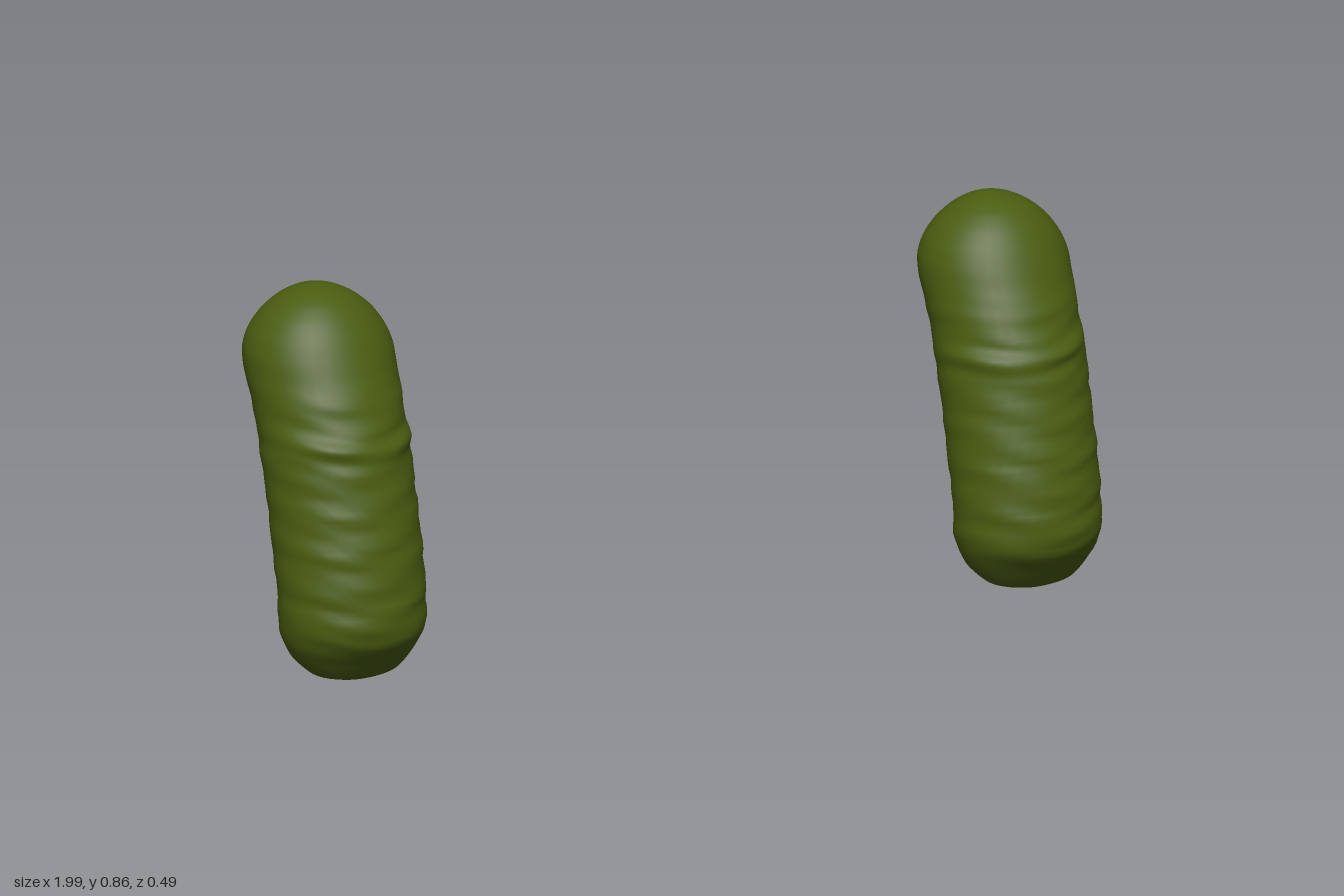
import * as THREE from 'three';

// Outline of one sleeve, bottom to top: height, front z, back z, half width in x
const OUTLINE = [
  [0, 0.1, 0.09, 0.004], [0.006, 0.135, 0.065, 0.05], [0.022, 0.168, 0.045, 0.1],
  [0.06, 0.2, -0.02, 0.14], [0.12, 0.243, -0.056, 0.165], [0.2, 0.24, -0.056, 0.168],
  [0.3, 0.223, -0.088, 0.169], [0.4, 0.198, -0.118, 0.168], [0.5, 0.172, -0.155, 0.169],
  [0.54, 0.168, -0.173, 0.169], [0.57, 0.147, -0.187, 0.167], [0.63, 0.122, -0.216, 0.169],
  [0.68, 0.094, -0.243, 0.171], [0.72, 0.074, -0.246, 0.169], [0.76, 0.052, -0.235, 0.155],
  [0.8, 0.023, -0.21, 0.126], [0.83, -0.01, -0.18, 0.09], [0.85, -0.05, -0.145, 0.05],
  [0.858, -0.09, -0.11, 0.01], [0.859, -0.1, -0.102, 0.001],
];

// Stacks oval cross-sections along the outline and presses shallow folds into them
function sleeveGeometry(mirror) {
  const rows = 110, cols = 40;
  const sides = new THREE.CatmullRomCurve3(
    OUTLINE.map(([y, f, b]) => new THREE.Vector3(y, f, b)), false, 'catmullrom', 0.4);
  const widths = new THREE.CatmullRomCurve3(
    OUTLINE.map(([y, , , w]) => new THREE.Vector3(w, y, 0)), false, 'catmullrom', 0.4);
  const pos = [], index = [];
  for (let i = 0; i <= rows; i++) {
    const t = i / rows;
    const { x: y, y: front, z: back } = sides.getPoint(t);
    const w = widths.getPoint(t).x;
    const mid = (front + back) / 2, depth = (front - back) / 2;
    // Folds fade out at both rounded ends
    const fade = THREE.MathUtils.smoothstep(y, 0.05, 0.14) * (1 - THREE.MathUtils.smoothstep(y, 0.55, 0.7));
    for (let j = 0; j < cols; j++) {
      const a = (j / cols) * Math.PI * 2;
      const s = Math.sin(a), c = Math.cos(a);
      const wave = Math.sin(y * 78 + 1.4 * Math.sin(a * 2 + 1) + 2 * s) * 0.6
        + Math.sin(y * 131 - 2.2 * s + 1.5 * Math.cos(a * 3)) * 0.4;
      const fold = 1 + 0.027 * fade * wave * (0.35 + 0.65 * Math.max(0, c));
      pos.push(mirror * s * w * fold, y, mid + c * depth * fold);
    }
  }
  // Side faces
  for (let i = 0; i < rows; i++) {
    for (let j = 0; j < cols; j++) {
      const k = (j + 1) % cols;
      const a = i * cols + j, b = i * cols + k, d = a + cols, e = b + cols;
      if (mirror > 0) index.push(a, b, e, a, e, d);
      else index.push(a, e, b, a, d, e);
    }
  }
  // Tiny end caps
  for (let j = 1; j < cols - 1; j++) {
    const top = rows * cols;
    if (mirror > 0) index.push(0, j + 1, j, top, top + j, top + j + 1);
    else index.push(0, j, j + 1, top, top + j + 1, top + j);
  }
  const geo = new THREE.BufferGeometry();
  geo.setAttribute('position', new THREE.Float32BufferAttribute(pos, 3));
  geo.setIndex(index);
  geo.computeVertexNormals();
  return geo;
}

export function createModel() {
  const model = new THREE.Group();
  model.name = 'sleevePair';
  const olive = new THREE.MeshStandardMaterial({ color: 0x4a5d10 });
  olive.name = 'olive green';

  for (const side of [1, -1]) {
    const group = new THREE.Group();
    group.name = side > 0 ? 'leftSleeve' : 'rightSleeve';
    group.position.x = side * 0.825;

    const body = new THREE.Mesh(sleeveGeometry(side), olive);
    body.name = 'sleeveBody';

    // Small raised ring on the back near the top
    const ring = new THREE.Mesh(new THREE.TorusGeometry(0.036, 0.006, 8, 24), olive);
    ring.name = 'backRing';
    ring.position.set(0, 0.7, -0.24);

    group.add(body, ring);
    model.add(group);
  }
  return model;
}
